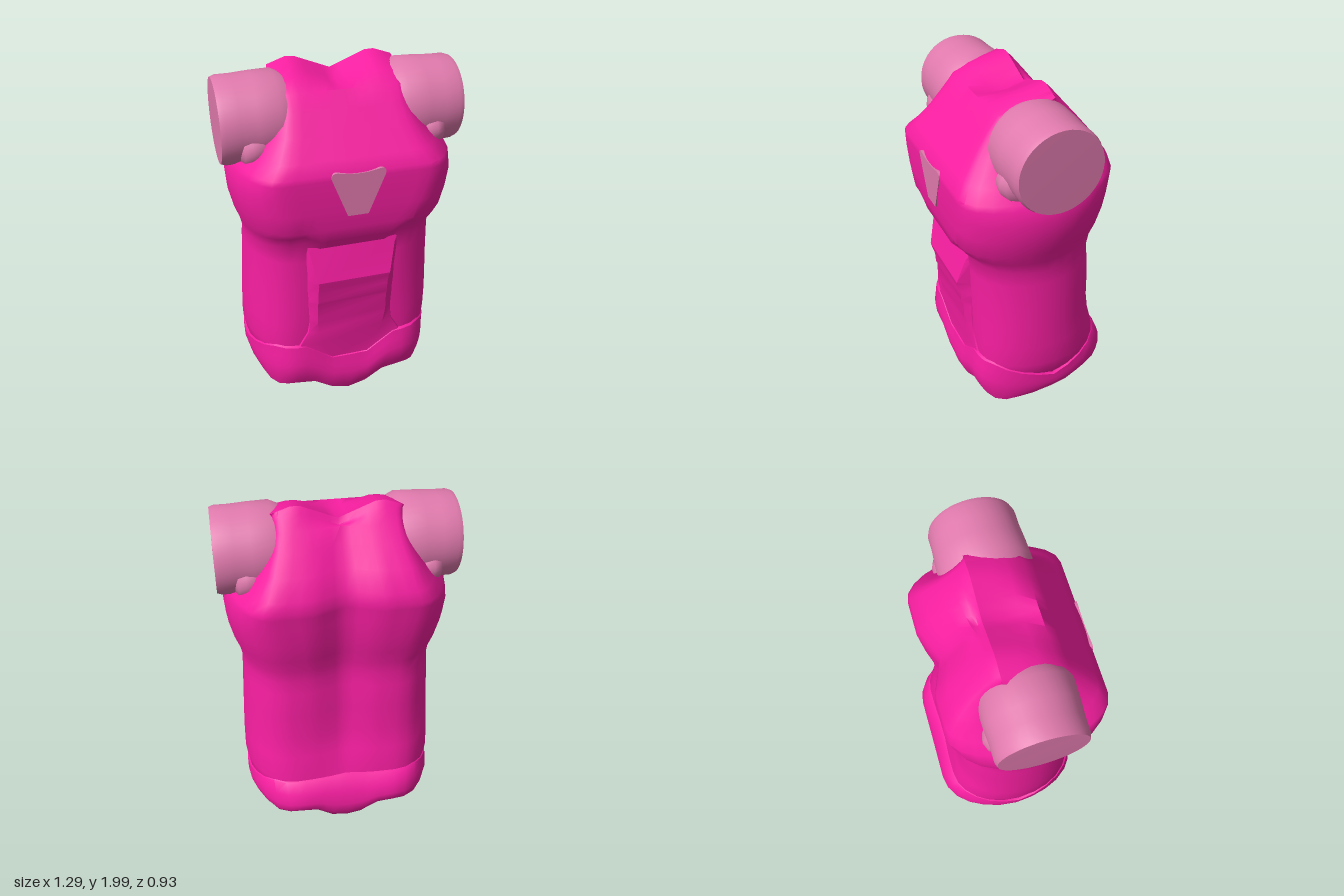
import * as THREE from 'three';
import { toCreasedNormals } from 'three/addons/utils/BufferGeometryUtils.js';

const main = new THREE.MeshStandardMaterial({ color: 0xf71ea0, side: THREE.DoubleSide });
const pale = new THREE.MeshStandardMaterial({ color: 0xe07aad });

const HALF = 24; // stations from front centre round to back centre

function mesh(name, geometry, material, crease = 0.6) {
  const m = new THREE.Mesh(toCreasedNormals(geometry, crease), material);
  m.name = name;
  return m;
}

// Skin rows of points, listed from top to bottom
function loft(rows, wrap) {
  const n = rows[0].length;
  const index = [];
  for (let r = 0; r < rows.length - 1; r++) {
    for (let j = 0; j < (wrap ? n : n - 1); j++) {
      const a = r * n + j, b = r * n + (j + 1) % n;
      index.push(a, a + n, b, b, a + n, b + n);
    }
  }
  const geo = new THREE.BufferGeometry();
  geo.setAttribute('position', new THREE.Float32BufferAttribute(rows.flat(2), 3));
  geo.setIndex(index);
  return geo;
}

// Body cross-section: flat front and back joined by rounded sides
function ring(W, zF, f, zB, b, groove, yAt) {
  const zm = (zF + zB) / 2;
  const half = [];
  for (let i = 0; i <= HALF; i++) {
    let x, z;
    if (i <= 6) { x = f * i / 6; z = zF; }
    else if (i >= 18) { x = b * (HALF - i) / 6; z = zB; }
    else {
      const t = (i - 6) / 12 * Math.PI, flat = i <= 12 ? f : b;
      x = flat + (W - flat) * Math.sin(t);
      z = zm + Math.cos(t) * (zF - zB) / 2;
    }
    if (i >= 14) z += groove * Math.max(0, 1 - x / 0.18);
    half.push([x, yAt(i, x), z]);
  }
  const mirrored = half.slice(1, HALF).reverse().map(([x, y, z]) => [-x, y, z]);
  return half.concat(mirrored);
}

// Piecewise linear lookup
function lookup(table, t) {
  for (let k = 1; k < table.length; k++) {
    const [t0, v0] = table[k - 1], [t1, v1] = table[k];
    if (t <= t1) return v0 + (v1 - v0) * (t - t0) / (t1 - t0);
  }
  return table[table.length - 1][1];
}

function torso() {
  // y, half width, front z, front flat, back z, back flat, spine groove
  const rows = [
    [2.0, 0.34, -0.08, 0.29, -0.08, 0.29, 0],
    [1.975, 0.345, 0.03, 0.29, -0.105, 0.29, 0.005],
    [1.95, 0.35, 0.11, 0.29, -0.125, 0.29, 0.01],
    [1.9, 0.355, 0.2, 0.28, -0.165, 0.29, 0.03],
    [1.82, 0.385, 0.262, 0.28, -0.23, 0.3, 0.05],
    [1.72, 0.44, 0.337, 0.3, -0.31, 0.33, 0.06],
    [1.62, 0.515, 0.415, 0.34, -0.375, 0.36, 0.07],
    [1.56, 0.575, 0.46, 0.385, -0.388, 0.38, 0.07],
    [1.53, 0.595, 0.462, 0.385, -0.385, 0.375, 0.07],
    [1.45, 0.612, 0.462, 0.37, -0.375, 0.36, 0.065],
    [1.35, 0.605, 0.46, 0.34, -0.365, 0.34, 0.06],
    [1.24, 0.58, 0.452, 0.31, -0.34, 0.33, 0.055],
    [1.16, 0.552, 0.435, 0.28, -0.32, 0.31, 0.05],
    [1.08, 0.535, 0.37, 0.27, -0.31, 0.3, 0.05],
    [1.0, 0.54, 0.362, 0.27, -0.318, 0.3, 0.05],
    [0.85, 0.548, 0.357, 0.27, -0.328, 0.3, 0.045],
    [0.7, 0.556, 0.353, 0.28, -0.33, 0.3, 0.04],
    [0.56, 0.563, 0.35, 0.3, -0.35, 0.3, 0.03],
    [0.42, 0.566, 0.347, 0.32, -0.39, 0.29, 0.01],
    [0.32, 0.548, 0.34, 0.32, -0.39, 0.28, 0],
    [0.26, 0.51, 0.31, 0.28, -0.35, 0.25, 0],
  ];
  const neckDip = [[1.9, 0], [1.95, 0.06], [1.975, 0.085], [2, 0.08]];
  return loft(rows.map(([y, ...p]) => ring(...p, (i, x) => {
    // neck dip between the shoulders, chest edge rising at the sides
    if (y >= 1.9) {
      return y - lookup(neckDip, y) * Math.max(0, 1 - x / 0.2)
        - (y - 1.88) / 0.12 * lookup([[0, 0], [0.24, 0], [0.34, 0.035]], x);
    }
    if (y === 1.16 || y === 1.08) return y + lookup([[0, 0], [4, 0], [6, 0.05], [9, 0.02], [12, 0], [24, 0]], i);
    return y;
  })), true);
}

function hips() {
  const top = [[0, 0.3], [2, 0.3], [5, 0.42], [8, 0.43], [12, 0.31], [16, 0.42], [24, 0.43]];
  const hem = [[0, 0.012], [2, 0.04], [4, 0.11], [6.5, 0.13], [8.5, 0.1], [10, 0.14], [12, 0.17],
    [14, 0.17], [16, 0.1], [18, 0.12], [20, 0.11], [22, 0.04], [24, 0.02]];
  // share of height, half width, front z, front flat, back z, back flat
  const rows = [
    [0, 0.545, 0.34, 0.32, -0.37, 0.28],
    [0.04, 0.562, 0.362, 0.32, -0.4, 0.29],
    [0.25, 0.562, 0.372, 0.32, -0.44, 0.28],
    [0.45, 0.562, 0.382, 0.32, -0.463, 0.27],
    [0.62, 0.556, 0.38, 0.32, -0.455, 0.27],
    [0.82, 0.545, 0.365, 0.32, -0.4, 0.27],
    [1, 0.525, 0.342, 0.32, -0.32, 0.27],
  ].map(([t, ...p]) => ring(...p, 0, i => THREE.MathUtils.lerp(lookup(top, i), lookup(hem, i), t)));
  // underside drawn in to a raised centre
  rows.push(rows[0].map(() => [0, 0.17, -0.05]));
  return loft(rows, true);
}

function abdomen() {
  // y, outer half width, inner half width, z
  const rows = [
    [1.11, 0.28, 0.25, 0.365], [1.06, 0.275, 0.24, 0.38], [0.89, 0.26, 0.205, 0.424],
    [0.87, 0.26, 0.2, 0.42], [0.81, 0.26, 0.2, 0.403], [0.75, 0.255, 0.2, 0.401],
    [0.72, 0.255, 0.2, 0.389], [0.62, 0.25, 0.2, 0.387], [0.58, 0.25, 0.2, 0.377],
    [0.51, 0.26, 0.19, 0.375], [0.42, 0.31, 0.16, 0.365], [0.29, 0.12, 0.09, 0.355],
  ];
  return loft(rows.map(([y, o, w, z]) =>
    [[-o, y, 0.335], [-o + 0.01, y, 0.357], [-w, y, z], [w, y, z], [o - 0.01, y, 0.357], [o, y, 0.335]]), false);
}

function chestInset() {
  const s = new THREE.Shape();
  s.moveTo(-0.055, 1.32);
  s.lineTo(0.055, 1.32);
  s.lineTo(0.14, 1.535);
  s.quadraticCurveTo(0.15, 1.575, 0.11, 1.572);
  s.quadraticCurveTo(0, 1.545, -0.11, 1.572);
  s.quadraticCurveTo(-0.15, 1.575, -0.14, 1.535);
  s.closePath();
  return new THREE.ExtrudeGeometry(s, { depth: 0.036, bevelEnabled: false }).translate(0, 0, 0.43);
}

// Solid of revolution pointing sideways, from [radius, x] pairs
function sideways(points, side, sy, sz, y) {
  const geo = new THREE.LatheGeometry(points.map(([r, x]) => new THREE.Vector2(r, x)), 40);
  geo.rotateZ(-side * Math.PI / 2);
  geo.scale(1, sy, sz);
  return geo.translate(0, y, 0.035);
}

export function createModel() {
  const group = new THREE.Group();
  group.name = 'armouredTorso';
  group.add(
    mesh('torso', torso(), main, 0.85),
    mesh('hips', hips(), main, 0.8),
    mesh('abdomenPlate', abdomen(), main, 0.4),
    mesh('chestInset', chestInset(), pale),
  );
  const armProfile = [[0.215, 0.28], [0.24, 0.335], [0.237, 0.45], [0.231, 0.54], [0.231, 0.615], [0.222, 0.64], [0, 0.643]];
  const cuffProfile = [[0.2, 0.38], [0.235, 0.44], [0.24, 0.49], [0.225, 0.53], [0.16, 0.56]];
  for (const [label, side] of [['left', 1], ['right', -1]]) {
    group.add(
      mesh(label + 'UpperArm', sideways(armProfile, side, 1, 1.02, 1.735), pale),
      mesh(label + 'Armhole', sideways(cuffProfile, side, 0.6, 1.07, 1.64), pale, 1),
    );
  }
  return group;
}
